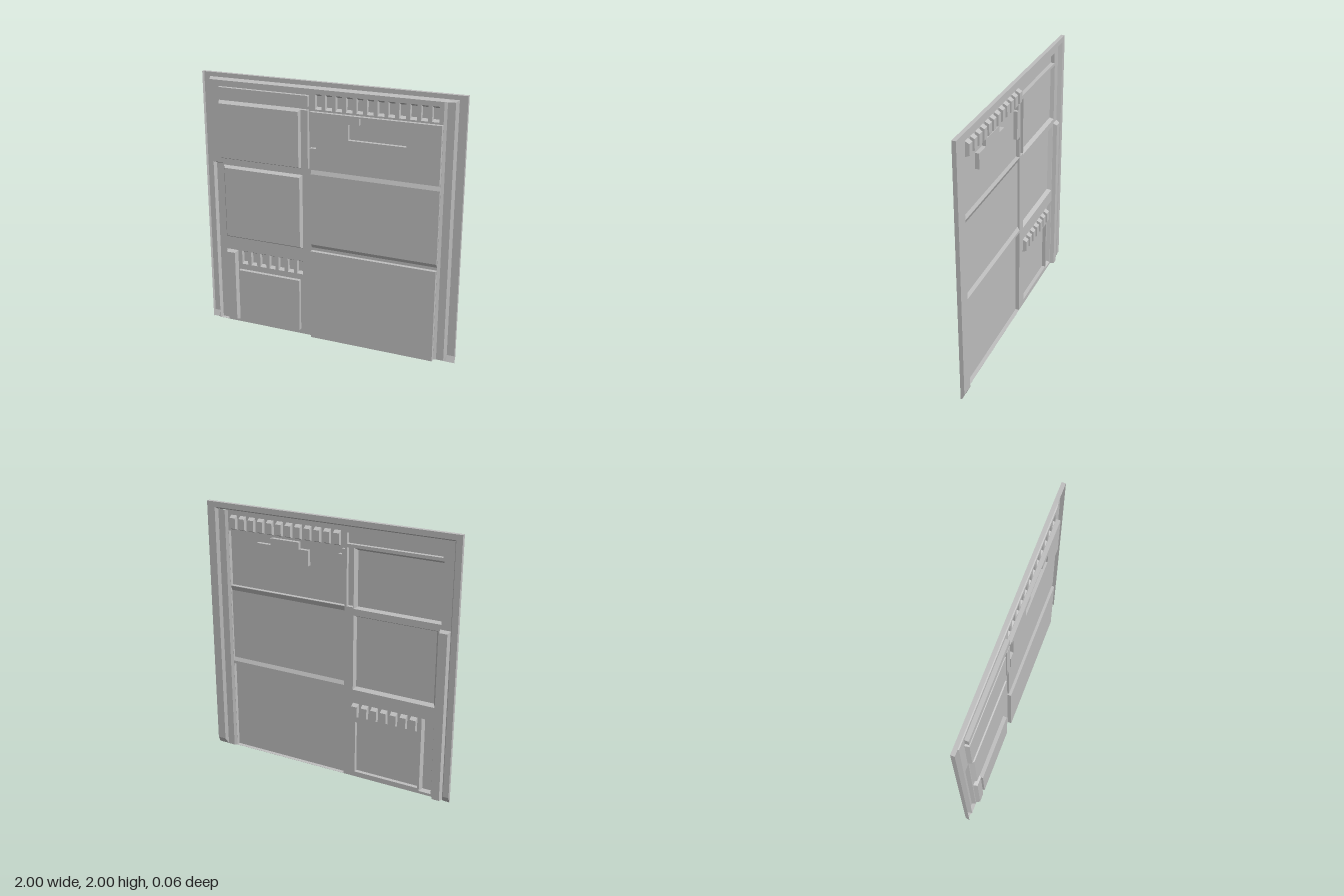
import * as THREE from 'three';

const grey = new THREE.MeshStandardMaterial({ color: 0xbfbfbf, side: THREE.DoubleSide });
grey.name = 'panel grey';

// Rectangle as a counter-clockwise outline
const rect = (x0, x1, y0, y1) => [[x0, y0], [x1, y0], [x1, y1], [x0, y1]];
const lift = (outline, z) => outline.map(([x, y]) => [x, y, z]);

// Flat-shaded skin between successive rows of points
function loft(rows, closed = false) {
  const pos = [];
  for (let r = 0; r + 1 < rows.length; r++) {
    const a = rows[r], b = rows[r + 1], n = a.length;
    for (let i = 0; i < (closed ? n : n - 1); i++) {
      const j = (i + 1) % n;
      pos.push(...a[i], ...a[j], ...b[j], ...a[i], ...b[j], ...b[i]);
    }
  }
  const g = new THREE.BufferGeometry();
  g.setAttribute('position', new THREE.Float32BufferAttribute(pos, 3));
  g.computeVertexNormals();
  return g;
}

// Flat sheet at depth z with holes
function sheet(outline, holes, z) {
  const v = (o) => o.map(([x, y]) => new THREE.Vector2(x, y));
  const s = new THREE.Shape(v(outline));
  s.holes = holes.map((h) => new THREE.Path(v(h)));
  return new THREE.ShapeGeometry(s).translate(0, 0, z);
}

export function createModel() {
  const root = new THREE.Group();
  root.name = 'wallPanel';
  const add = (name, geo, parent = root) => {
    const m = new THREE.Mesh(geo, grey);
    m.name = name;
    parent.add(m);
  };
  // Raised or sunken area: walls from the outer outline to the inner one, then a face
  const relief = (name, outer, inner, z0, z1, holes = []) => {
    const g = new THREE.Group();
    g.name = name;
    root.add(g);
    add(name + 'Walls', loft([lift(outer, z0), lift(inner, z1)], true), g);
    add(name + 'Face', sheet(inner, holes, z1), g);
    return outer;
  };
  const H = 0.03, B = -0.03, LANE = -0.012;
  const baseHoles = [];
  const onBase = (name, outer, inner, z, holes) =>
    baseHoles.push(relief(name, outer, inner, 0, z, holes));

  // Left column of raised panels
  const strip = rect(-0.86, -0.145, 1.82, 1.9);
  onBase('topStrip', strip, strip, H);
  onBase('upperLeftPanel', rect(-0.87, -0.202, 1.35, 1.797), rect(-0.86, -0.22, 1.363, 1.777), H);
  onBase('middleLeftPanel', rect(-0.85, -0.202, 0.72, 1.3), rect(-0.83, -0.215, 0.738, 1.285), H);
  onBase('lowerPillar', rect(-0.85, -0.755, 0.02, 0.615), rect(-0.838, -0.77, 0.033, 0.6), H);
  const lowLeft = rect(-0.74, -0.225, 0.04, 0.46);
  onBase('lowerLeftPanel', lowLeft, lowLeft, H);
  const divider = rect(-0.198, -0.145, 1.36, 1.795);
  onBase('dividerStrip', divider, divider, H);

  // Sunken slot at the left edge
  onBase('sideSlot', rect(-0.939, -0.86, 0.001, 1.315), rect(-0.927, -0.87, 0.001, 1.3), B);

  // Upper right panel with a side notch and a stepped recess
  const recess = [[0.165, 1.61], [0.595, 1.61], [0.595, 1.725], [0.48, 1.725],
    [0.48, 1.775], [0.245, 1.775], [0.245, 1.725], [0.165, 1.725]];
  const upperRight = [[-0.13, 1.36], [0.839, 1.36], [0.839, 1.787], [-0.13, 1.787],
    [-0.13, 1.78], [-0.105, 1.78], [-0.105, 1.738], [-0.08, 1.738], [-0.08, 1.52], [-0.13, 1.52]];
  onBase('upperRightPanel', upperRight, upperRight, H, [recess]);
  relief('steppedRecess', recess, recess, H, 0);

  // Middle and lower right panels
  onBase('middleRightPanel', rect(-0.13, 0.839, 0.742, 1.357), rect(-0.13, 0.839, 0.77, 1.32), 0.015);
  const lowRight = rect(-0.13, 0.839, 0.001, 0.72);
  onBase('lowerRightPanel', lowRight, lowRight, H);

  // Two rows of sunken vents
  const ventRow = (name, count, x0, y0, y1) => {
    for (let i = 0; i < count; i++) {
      const x = x0 + i * 0.078;
      onBase(name, rect(x - 0.025, x + 0.025, y0, y1),
        rect(x - 0.023, x + 0.023, y0 + 0.014, y1 - 0.017), B);
    }
  };
  ventRow('upperVent', 12, -0.074, 1.8, 1.91);
  ventRow('lowerVent', 7, -0.697, 0.505, 0.615);

  add('baseSheet', sheet(rect(-0.94, 0.84, 0, 1.945), baseHoles, 0));

  // Outer rim, flange and bevel running round the sides and top
  const arch = (xl, xr, top, yb, zl, zr) =>
    [[xl, yb, zl], [xl, top, zl], [0.84, top, zl], [xr, top, zr], [xr, yb, zr]];
  add('outerFrame', loft([
    arch(-1, 1, 2, 0, 0, 0),
    arch(-1, 1, 2, 0.045, B, B),
    arch(-0.955, 0.935, 1.96, 0.045, B, B),
    arch(-0.94, 0.915, 1.945, 0, 0, LANE),
  ]));

  // Stepped lane beside the right panels
  add('rightLane', loft([[0.915, LANE], [0.86, LANE], [0.84, 0]]
    .map(([x, z]) => [[x, 0, z], [x, 1.945, z]])));

  // Chamfered feet of the flange
  for (const [xo, xi, xb, zb] of [[-1, -0.955, -0.94, 0], [1, 0.935, 0.915, LANE]]) {
    add('flangeFoot', loft([
      [[xo, 0.045, B], [xo, 0, 0]],
      [[xo, 0.045, B], [xo, 0, -0.01]],
      [[xi, 0.045, B], [xi, 0, -0.01]],
      [[xi, 0.045, B], [xb, 0, zb]],
    ]));
  }
  return root;
}
